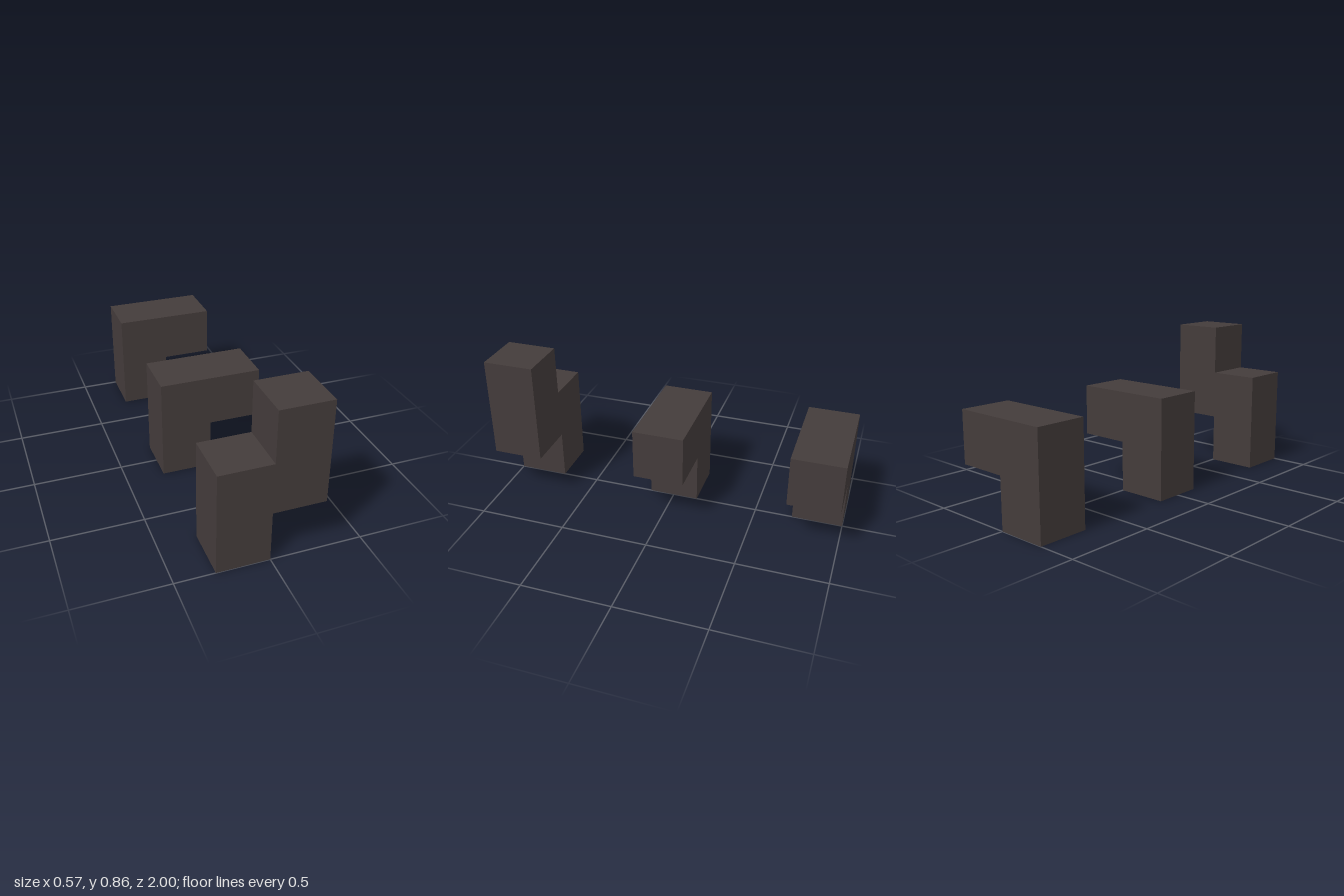
import * as THREE from 'three';

const U = 2 / 7; // side of one cube unit

// Extrude a stepped outline, given in cube units, one unit deep and centred on z
function block(name, outline, z, material) {
  const shape = new THREE.Shape(outline.map(([x, y]) => new THREE.Vector2(x * U, y * U)));
  const geometry = new THREE.ExtrudeGeometry(shape, { depth: U, bevelEnabled: false });
  geometry.translate(0, 0, -U / 2);
  const mesh = new THREE.Mesh(geometry, material);
  mesh.name = name;
  mesh.position.z = z;
  return mesh;
}

export function createModel() {
  const group = new THREE.Group();
  group.name = 'steppedBlocks';
  const charcoal = new THREE.MeshStandardMaterial({ color: 0x443c3b });
  charcoal.name = 'charcoal';

  // Two offset columns, and a bar resting on one leg
  const zigzag = [[-1, 0], [0, 0], [0, 1], [1, 1], [1, 3], [0, 3], [0, 2], [-1, 2]];
  const corner = [[-1, 0], [0, 0], [0, 1], [1, 1], [1, 2], [-1, 2]];

  group.add(
    block('frontZigzagBlock', zigzag, 3 * U, charcoal),
    block('middleCornerBlock', corner, 0, charcoal),
    block('backCornerBlock', corner, -3 * U, charcoal),
  );
  return group;
}
